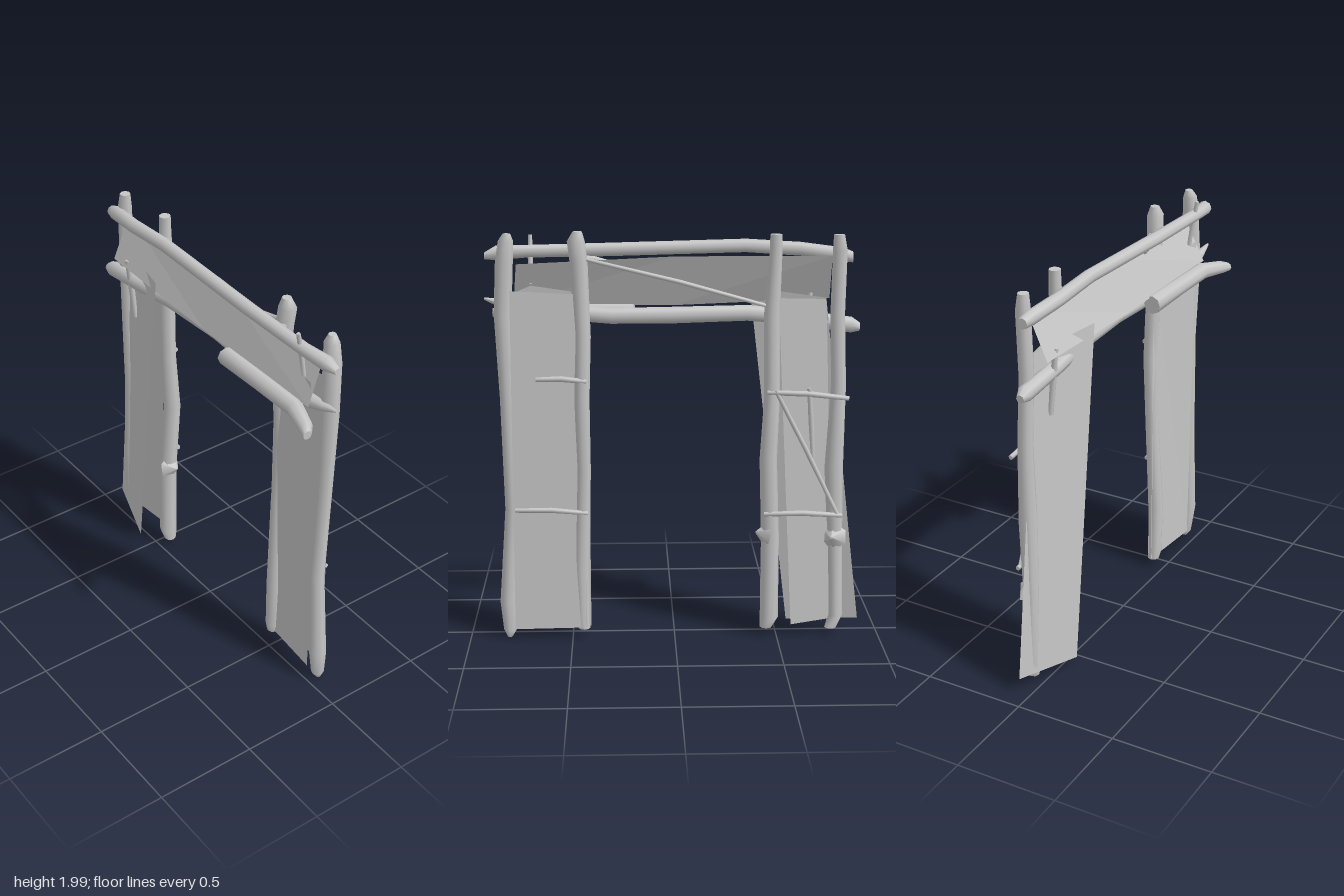
import * as THREE from 'three';

const grey = new THREE.MeshStandardMaterial({ color: 0xc6c6c6 });
grey.name = 'plain grey';
grey.side = THREE.DoubleSide;

// Rough limb: rings of radius r around points [x, y, z, r], closed with separate caps.
function limb(name, pts, sides = 8) {
  const centres = pts.map(p => new THREE.Vector3(p[0], p[1], p[2]));
  const axis = centres[centres.length - 1].clone().sub(centres[0]).normalize();
  const ref = Math.abs(axis.z) > 0.9 ? new THREE.Vector3(1, 0, 0) : new THREE.Vector3(0, 0, 1);
  const u = new THREE.Vector3().crossVectors(ref, axis).normalize();
  const v = new THREE.Vector3().crossVectors(axis, u);
  const pos = [], idx = [];
  const ring = i => {
    for (let s = 0; s < sides; s++) {
      const a = (s / sides) * Math.PI * 2, r = pts[i][3];
      const q = centres[i].clone().addScaledVector(u, Math.cos(a) * r).addScaledVector(v, Math.sin(a) * r);
      pos.push(q.x, q.y, q.z);
    }
  };
  pts.forEach((p, i) => ring(i));
  for (let i = 0; i < pts.length - 1; i++) {
    for (let s = 0; s < sides; s++) {
      const a = i * sides + s, b = i * sides + (s + 1) % sides;
      idx.push(a, b, b + sides, a, b + sides, a + sides);
    }
  }
  for (const end of [0, pts.length - 1]) {
    const base = pos.length / 3;
    ring(end);
    for (let s = 1; s < sides - 1; s++) {
      if (end) idx.push(base, base + s, base + s + 1);
      else idx.push(base, base + s + 1, base + s);
    }
  }
  return mesh(name, pos, idx);
}

// Thin sheet: lofted between a top and a bottom row of points.
function sheet(name, top, bottom) {
  const idx = [], n = top.length;
  for (let i = 0; i < n - 1; i++) idx.push(i, n + i, n + i + 1, i, n + i + 1, i + 1);
  return mesh(name, [...top.flat(), ...bottom.flat()], idx, true);
}

function mesh(name, pos, idx, flat = false) {
  let g = new THREE.BufferGeometry();
  g.setAttribute('position', new THREE.Float32BufferAttribute(pos, 3));
  g.setIndex(idx);
  if (flat) g = g.toNonIndexed();
  g.computeVertexNormals();
  const m = new THREE.Mesh(g, grey);
  m.name = name;
  return m;
}

// Small pointed stump of a broken twig.
function knot(x, y, z, dx, dz) {
  return limb('knot', [[x, y, z, 0.065], [x + dx, y + 0.01, z + dz, 0.006]], 6);
}

export function createModel() {
  const model = new THREE.Group();
  model.name = 'woodenGateway';

  // Four upright poles
  const posts = {
    rightOuterPost: [
      [-0.77, 0.035, -0.06, 0.03], [-0.795, 0.1, -0.055, 0.035], [-0.785, 0.45, -0.05, 0.036],
      [-0.77, 0.85, -0.065, 0.045], [-0.785, 1.25, -0.06, 0.036], [-0.775, 1.6, -0.05, 0.035],
      [-0.78, 1.9, -0.055, 0.035], [-0.775, 1.975, -0.055, 0.026]],
    rightInnerPost: [
      [-0.45, 0.04, -0.06, 0.03], [-0.465, 0.09, -0.06, 0.045], [-0.465, 0.5, -0.065, 0.044],
      [-0.45, 0.9, -0.088, 0.042], [-0.465, 1.2, -0.08, 0.038], [-0.46, 1.6, -0.075, 0.038],
      [-0.475, 1.9, -0.08, 0.03], [-0.475, 1.98, -0.08, 0.028]],
    leftInnerPost: [
      [0.445, 0.045, -0.065, 0.03], [0.45, 0.09, -0.06, 0.036], [0.455, 0.35, -0.06, 0.04],
      [0.438, 0.85, -0.078, 0.034], [0.442, 1.2, -0.092, 0.036], [0.435, 1.5, -0.075, 0.038],
      [0.45, 1.85, -0.075, 0.042], [0.462, 1.95, -0.08, 0.042], [0.455, 1.995, -0.08, 0.022]],
    leftOuterPost: [
      [0.81, 0.005, -0.065, 0.012], [0.808, 0.04, -0.06, 0.032], [0.813, 0.18, -0.05, 0.042],
      [0.785, 0.65, -0.045, 0.036], [0.798, 1.2, -0.055, 0.036], [0.812, 1.6, -0.05, 0.042],
      [0.8, 1.85, -0.06, 0.042], [0.79, 1.95, -0.06, 0.036], [0.785, 1.985, -0.065, 0.018]],
  };
  for (const [name, pts] of Object.entries(posts)) model.add(limb(name, pts));
  model.add(knot(-0.45, 0.52, -0.065, 0.055, -0.01), knot(-0.78, 0.5, -0.06, 0.02, -0.06));

  // Long cross beams
  model.add(limb('topBeam', [
    [-0.845, 1.865, -0.02, 0.026], [-0.8, 1.875, -0.012, 0.034], [-0.6, 1.9, 0.015, 0.033],
    [-0.34, 1.917, 0.015, 0.032], [0.3, 1.9, 0.018, 0.032], [0.7, 1.893, 0.015, 0.03],
    [0.84, 1.888, 0.0, 0.035], [0.895, 1.875, -0.01, 0.016]]));
  model.add(limb('lowerBeam', [
    [-0.885, 1.53, -0.015, 0.02], [-0.845, 1.54, -0.015, 0.038], [-0.6, 1.575, -0.005, 0.036],
    [-0.35, 1.6, -0.02, 0.038], [0, 1.595, -0.045, 0.04], [0.3, 1.59, -0.03, 0.038],
    [0.7, 1.62, -0.015, 0.036], [0.82, 1.65, -0.01, 0.022], [0.9, 1.672, -0.01, 0.006]]));
  model.add(limb('lowerFrontBeam', [
    [0.19, 1.6, 0.05, 0.045], [0.45, 1.605, 0.053, 0.043], [0.7, 1.605, 0.055, 0.042],
    [0.83, 1.59, 0.095, 0.034], [0.87, 1.585, 0.12, 0.022]]));

  // Header sheet, leaning back at the top
  model.add(sheet('headerPanel',
    [[-0.745, 1.875, -0.055], [0, 1.875, -0.06], [0.745, 1.84, -0.055]],
    [[-0.745, 1.66, 0.04], [0, 1.63, 0.035], [0.765, 1.635, 0.035]]));

  // Leg sheets: one in front and one behind on each side
  model.add(sheet('rightLegFrontPanel',
    [[-0.72, 1.675, -0.045], [-0.363, 1.712, 0.055]],
    [[-0.903, 0.08, -0.055], [-0.56, 0.04, 0.055]]));
  model.add(sheet('rightLegBackPanel',
    [[-0.72, 1.67, -0.055], [-0.49, 1.68, -0.09]],
    [[-0.78, 0.08, -0.055], [-0.57, 0.06, -0.09]]));
  model.add(sheet('leftLegFrontPanel',
    [[0.41, 1.7, -0.06], [0.74, 1.74, 0.005]],
    [[0.41, 0.055, -0.06], [0.765, 0.055, -0.03]]));
  model.add(sheet('leftLegBackPanel',
    [[0.43, 1.7, -0.085], [0.775, 1.72, -0.1]],
    [[0.43, 0.055, -0.09], [0.78, 0.055, -0.105]]));

  // Thin sticks and rungs: start, end, radius
  const sticks = [
    [[0.68, 1.74, -0.005], [0.68, 1.97, 0.035], 0.012],
    [[-0.645, 1.36, -0.01], [-0.65, 1.69, 0.025], 0.015],
    [[-0.48, 1.63, -0.08], [0.44, 1.87, -0.08], 0.011],
    [[0.26, 1.83, -0.03], [0.49, 1.875, -0.045], 0.014],
    [[0.42, 1.29, -0.115], [0.66, 1.3, -0.115], 0.014],
    [[0.42, 0.64, -0.1], [0.77, 0.66, -0.115], 0.013],
    [[-0.44, 1.23, -0.11], [-0.83, 1.2, -0.11], 0.014],
    [[-0.43, 0.63, -0.11], [-0.81, 0.62, -0.105], 0.014],
    [[-0.48, 1.24, -0.112], [-0.79, 0.62, -0.105], 0.012],
    [[-0.64, 1.25, -0.105], [-0.665, 0.9, -0.1], 0.013],
  ];
  for (const [a, b, r] of sticks) {
    const mid = a.map((c, i) => (c + b[i]) / 2 + (i === 1 ? 0.008 : 0));
    model.add(limb('stick', [[...a, r * 0.8], [...mid, r], [...b, r * 0.8]], 6));
  }
  return model;
}
